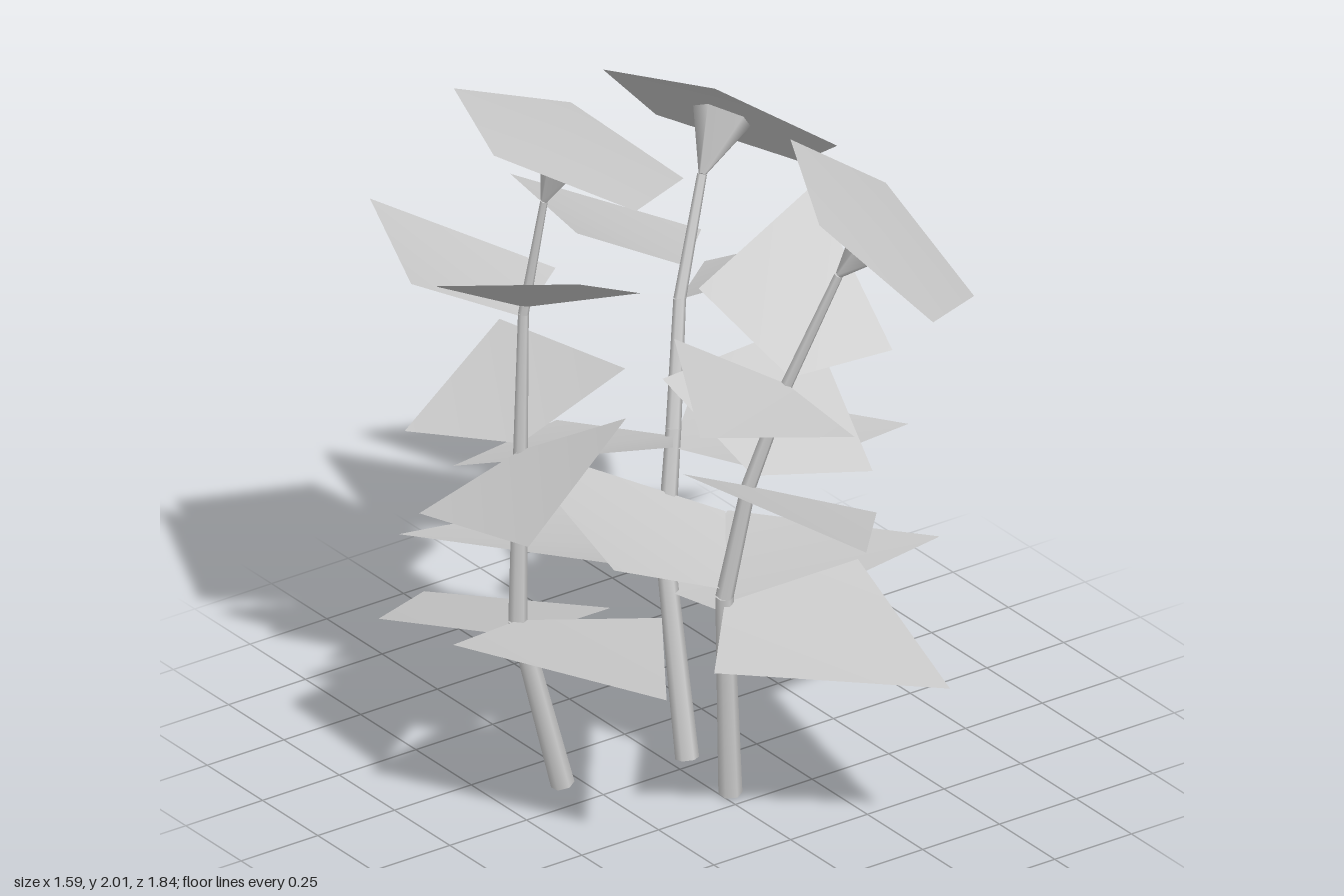
import * as THREE from 'three';

const { degToRad } = THREE.MathUtils;
const UP = new THREE.Vector3(0, 1, 0);
const V = (x, y, z) => new THREE.Vector3(x, y, z);
const grey = new THREE.MeshStandardMaterial({ color: 0xcccccc, side: THREE.DoubleSide });

// Unit direction from compass angle and pitch in degrees
function heading(angle, pitch) {
  const [a, p] = [degToRad(angle), degToRad(pitch)];
  return V(Math.cos(a) * Math.cos(p), Math.sin(p), Math.sin(a) * Math.cos(p));
}

function surface(name, points, faces) {
  const geometry = new THREE.BufferGeometry().setFromPoints(points);
  geometry.setIndex(faces);
  geometry.computeVertexNormals();
  const mesh = new THREE.Mesh(geometry, grey);
  mesh.name = name;
  return mesh;
}

// Tapered cylinder between two points
function limb(name, a, b, ra, rb, sides) {
  const axis = b.clone().sub(a);
  const mesh = new THREE.Mesh(new THREE.CylinderGeometry(rb, ra, axis.length(), sides), grey);
  mesh.position.copy(a).add(b).multiplyScalar(0.5);
  mesh.quaternion.setFromUnitVectors(UP, axis.normalize());
  mesh.name = name;
  return mesh;
}

// Point of the stem at a given height
function stemPoint(bends, y) {
  let i = 0;
  while (i < bends.length - 2 && bends[i + 1].y < y) i++;
  const [a, b] = [bends[i], bends[i + 1]];
  return a.clone().lerp(b, (y - a.y) / (b.y - a.y));
}

// Kite-shaped blade, slightly folded up along its rib; roll is its sideways slope
function leaf(base, length, angle, pitch, roll) {
  const rib = heading(angle, pitch);
  const across = V(-rib.z, 0, rib.x).normalize();
  const lift = across.clone().cross(rib);
  across.addScaledVector(lift, roll).normalize();
  const middle = base.clone().addScaledVector(rib, 0.27 * length).addScaledVector(lift, 0.03);
  const right = middle.clone().addScaledVector(across, 0.45 * length);
  const left = middle.clone().addScaledVector(across, -0.45 * length);
  const tip = base.clone().addScaledVector(rib, length);
  return surface('leaf', [base, right, tip, left], [0, 1, 2, 0, 2, 3]);
}

// Shallow five-sided dome with one corner towards the given angle
function bloom(centre, normal, angle) {
  const spoke = heading(angle, 0);
  spoke.y = -spoke.dot(normal) / normal.y;
  spoke.setLength(0.345);
  const points = [centre.clone().addScaledVector(normal, 0.015)];
  const faces = [];
  for (let k = 0; k < 5; k++) {
    points.push(spoke.clone().applyAxisAngle(normal, (k * Math.PI * 2) / 5).add(centre));
    faces.push(0, k + 1, ((k + 1) % 5) + 1);
  }
  return surface('bloom', points, faces);
}

// One flower: stem bends, head placement, and leaves from bottom to top
function flower(name, lowerStem, centre, facing, cornerAngle, leaves) {
  const group = new THREE.Group();
  group.name = name;

  // Head with its cone underneath
  const normal = facing.normalize();
  const neck = centre.clone().addScaledVector(normal, -0.165);
  const coneTop = centre.clone().addScaledVector(normal, 0.005);
  group.add(bloom(centre, normal, cornerAngle), limb('calyx', neck, coneTop, 0.01, 0.085, 5));

  // Stem tapering upwards
  const bends = [...lowerStem, neck];
  const radius = (p) => 0.032 - 0.0125 * p.y;
  for (let i = 0; i < bends.length - 1; i++) {
    const [a, b] = [bends[i], bends[i + 1]];
    group.add(limb('stem', a, b, radius(a), radius(b), 6));
  }

  // Two leaves at each level, shorter towards the top
  leaves.forEach(([height, ...pose], i) => {
    const length = 0.73 - 0.055 * Math.floor(i / 2);
    group.add(leaf(stemPoint(bends, height), length, ...pose));
  });
  return group;
}

export function createModel() {
  const model = new THREE.Group();
  model.name = 'flowers';
  // Each leaf: height on stem, angle, pitch, roll
  model.add(
    flower('rightFlower',
      [V(-0.31, 0, -0.1), V(-0.42, 0.5, -0.15), V(-0.408, 1, -0.155), V(-0.395, 1.4, -0.16)],
      V(-0.3, 1.895, -0.092), V(0.4, 1, 0.146), -121, [
        [0.45, -76, -16, -0.13], [0.5, 93, 6, 0.15],
        [1, 124, 5, -0.48], [1.02, -59, 2, 0.28],
        [1.42, 110, 32, 0.16], [1.39, -96, 11, -0.28],
      ]),
    flower('frontFlower',
      [V(0.02, 0, 0.2), V(-0.01, 0.6, 0.215), V(0.04, 0.93, 0.255), V(0.125, 1.23, 0.31)],
      V(0.319, 1.685, 0.464), V(0.76, 1, 0.495), -115, [
        [0.58, 71, -3, -0.1], [0.62, -113, 21, -0.2],
        [0.93, 98, 9, 0.42], [0.96, -41, 11, -0.42],
        [1.23, 148, 12, 0.33], [1.25, -48, 28, -0.48],
      ]),
    flower('backFlower',
      [V(0.045, 0, -0.03), V(0.06, 0.55, -0.15), V(0.13, 0.88, -0.21), V(0.215, 1.2, -0.3)],
      V(0.445, 1.623, -0.426), V(0.817, 1, -0.384), 130, [
        [0.45, 30, 10, 0], [0.57, -156, 9, -0.21],
        [0.83, 14, -5, 0.05], [0.86, -174, 7, -0.3],
        [1.2, 13, 11, 0.42], [1.28, -103, 6, -0.38],
      ]),
  );
  return model;
}
